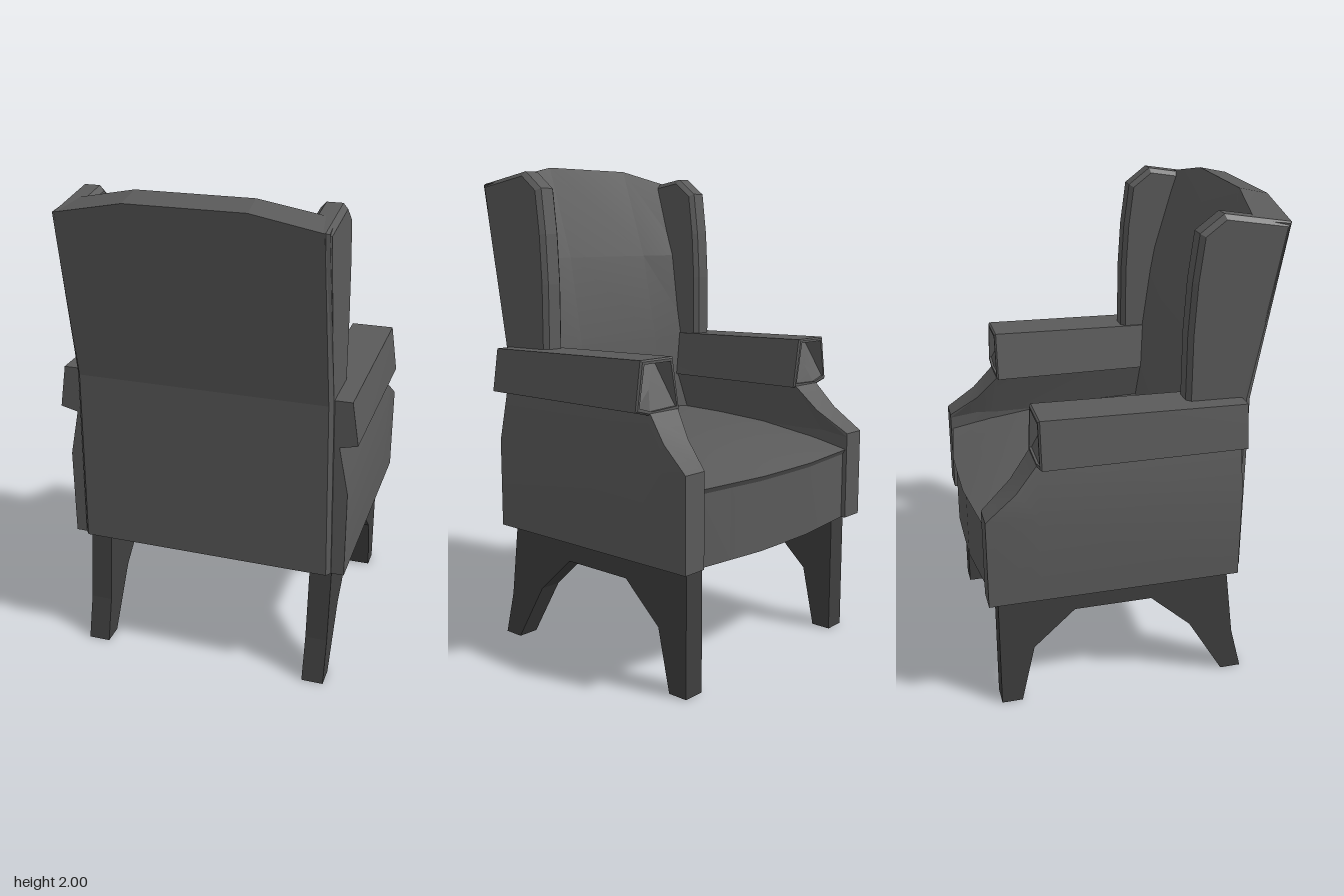
import * as THREE from 'three';
import { toCreasedNormals } from 'three/addons/utils/BufferGeometryUtils.js';

const fabric = new THREE.MeshStandardMaterial({ name: 'charcoal fabric', color: 0x5a5a5a });
const wood = new THREE.MeshStandardMaterial({ name: 'dark wood', color: 0x3f3f3f });

// Skins closed rings of [x, y, z] points, caps both ends and faces outward
function loft(rings, crease) {
  const tris = [], n = rings[0].length;
  for (let r = 0; r < rings.length - 1; r++) {
    for (let i = 0; i < n; i++) {
      const j = (i + 1) % n, a = rings[r], b = rings[r + 1];
      tris.push([a[i], a[j], b[j]], [a[i], b[j], b[i]]);
    }
  }
  const cap = (ring, flip) => {
    const c = [0, 1, 2].map(k => ring.reduce((s, p) => s + p[k], 0) / n);
    ring.forEach((p, i) => {
      const q = ring[(i + 1) % n];
      tris.push(flip ? [c, q, p] : [c, p, q]);
    });
  };
  cap(rings[0], true);
  cap(rings[rings.length - 1], false);
  let volume = 0;
  for (const [a, b, c] of tris) {
    volume += new THREE.Vector3(...a).dot(new THREE.Vector3(...b).cross(new THREE.Vector3(...c)));
  }
  if (volume < 0) tris.forEach(t => t.reverse());
  const geo = new THREE.BufferGeometry();
  geo.setAttribute('position', new THREE.Float32BufferAttribute(tris.flat(2), 3));
  return toCreasedNormals(geo, crease);
}

// Extrudes a [z, y] outline across x from x0 to x1
function slab(outline, x0, x1, bevel = 0) {
  const shape = new THREE.Shape(outline.map(p => new THREE.Vector2(...p)));
  const geo = new THREE.ExtrudeGeometry(shape, {
    depth: x1 - x0 - 2 * bevel, bevelEnabled: bevel > 0, bevelSegments: 1,
    bevelSize: bevel, bevelThickness: bevel, bevelOffset: -bevel,
  });
  return geo.rotateY(-Math.PI / 2).translate(x1 - bevel, 0, 0);
}

export function createModel() {
  const chair = new THREE.Group();
  chair.name = 'wingArmchair';
  const add = (name, geo, mat = fabric) => {
    const mesh = new THREE.Mesh(geo, mat);
    mesh.name = name;
    chair.add(mesh);
  };

  const legs = [[0.497, 0], [0.45, 0.185], [0.41, 0.505], [-0.54, 0.505], [-0.54, 0], [-0.455, 0],
    [-0.4, 0.25], [-0.23, 0.405], [0.09, 0.405], [0.26, 0.25], [0.41, 0]];
  const wing = [[0.465, 1.2], [0.217, 1.2], [0.217, 1.52], [0.228, 1.72], [0.25, 1.9],
    [0.34, 1.968], [0.603, 1.925], [0.475, 1.245]];

  // Side panel sections, back to sloped front: z, lower inner x, upper inner x, outer x, shoulder y, top y
  const panel = [[0.44, 0.45, 0.385, 0.54, 0.88, 1.07], [-0.375, 0.45, 0.385, 0.54, 0.88, 1.07],
    [-0.46, 0.465, 0.425, 0.56, 0.88, 0.97], [-0.583, 0.475, 0.475, 0.58, 0.86, 0.875]]
    .map(([z, low, inner, outer, shoulder, top]) => [[low, 0.505, z], [0.58, 0.505, z],
      [0.58, 0.87, z], [outer, top, z], [inner, top, z], [low, shoulder, z]]);

  // Armrest tapers upward and ends in a recess that deepens toward its top
  const armRing = (z, top, inset, lean) => [
    [0.375 + inset, 1.065 + inset, z], [0.53, 1.06 + inset, z], [0.612 - inset, 1.08 + inset, z],
    [0.585 - inset, top - inset, z + lean], [0.41 + inset, top - inset, z + lean]];
  const arm = [armRing(0.44, 1.255, 0, 0), armRing(-0.368, 1.27, 0, 0), armRing(-0.375, 1.27, 0.006, 0),
    armRing(-0.375, 1.27, 0.016, 0), armRing(-0.365, 1.27, 0.016, 0.08)];

  for (const [side, s] of [['left', 1], ['right', -1]]) {
    const flip = rings => rings.map(r => r.map(([x, y, z]) => [s * x, y, z]));
    const span = (a, b) => (s > 0 ? [a, b] : [-b, -a]);
    add(side + 'Legs', slab(legs, ...span(0.435, 0.525)), wood);
    add(side + 'SidePanel', loft(flip(panel), 0.22));
    add(side + 'Armrest', loft(flip(arm), 0.1));
    add(side + 'Wing', slab(wing, ...span(0.418, 0.515), 0.018));
  }

  // Underside plate
  add('basePlate', new THREE.BoxGeometry(0.95, 0.03, 0.96).translate(0, 0.51, -0.05), wood);

  // Domed seat rising toward the back, with a bowed front apron and a small lip
  const seatX = [-0.48, -0.32, -0.16, 0, 0.16, 0.32, 0.48];
  add('seat', loft(seatX.map(x => {
    const bow = 0.12 * Math.max(0, Math.abs(x) - 0.15);
    const dome = 0.035 * (1 - (x / 0.48) ** 2);
    return [[0.31, 0.505], [-0.603 + bow, 0.505], [-0.603 + bow, 0.785], [-0.615 + bow, 0.805],
      [-0.4, 0.845 + dome], [-0.15, 0.88 + dome], [0.1, 0.895 + dome], [0.31, 0.9 + dome]]
      .map(([z, y]) => [x, y, z]);
  }), 0.5));

  // Reclined, curved back with a crested top; slices run across the width
  const slices = [[-1, 1], [-0.97, 0.94], [-0.45, 0], [0.45, 0], [0.97, 0.94], [1, 1]];
  add('backrest', loft(slices.map(([f, e]) => {
    const chamfer = Math.abs(f) === 1 ? 0.02 : 0;
    return [[0.28 + 0.02 * e, 0.51, 0.52], [0.28 + 0.02 * e, 0.9, 0.52], [0.308 + 0.01 * e, 1.25, 0.515],
      [0.375 - 0.01 * e, 1.62, 0.505], [0.5 - 0.045 * e, 2 - 0.06 * e, 0.5],
      [0.615 - 0.012 * e - chamfer / 2, 1.975 - 0.055 * e, 0.51],
      [0.478 - chamfer, 1.245, 0.518], [0.47 - chamfer, 0.51, 0.53]].map(([z, y, w]) => [f * w, y, z]);
  }), 0.17));

  return chair;
}
